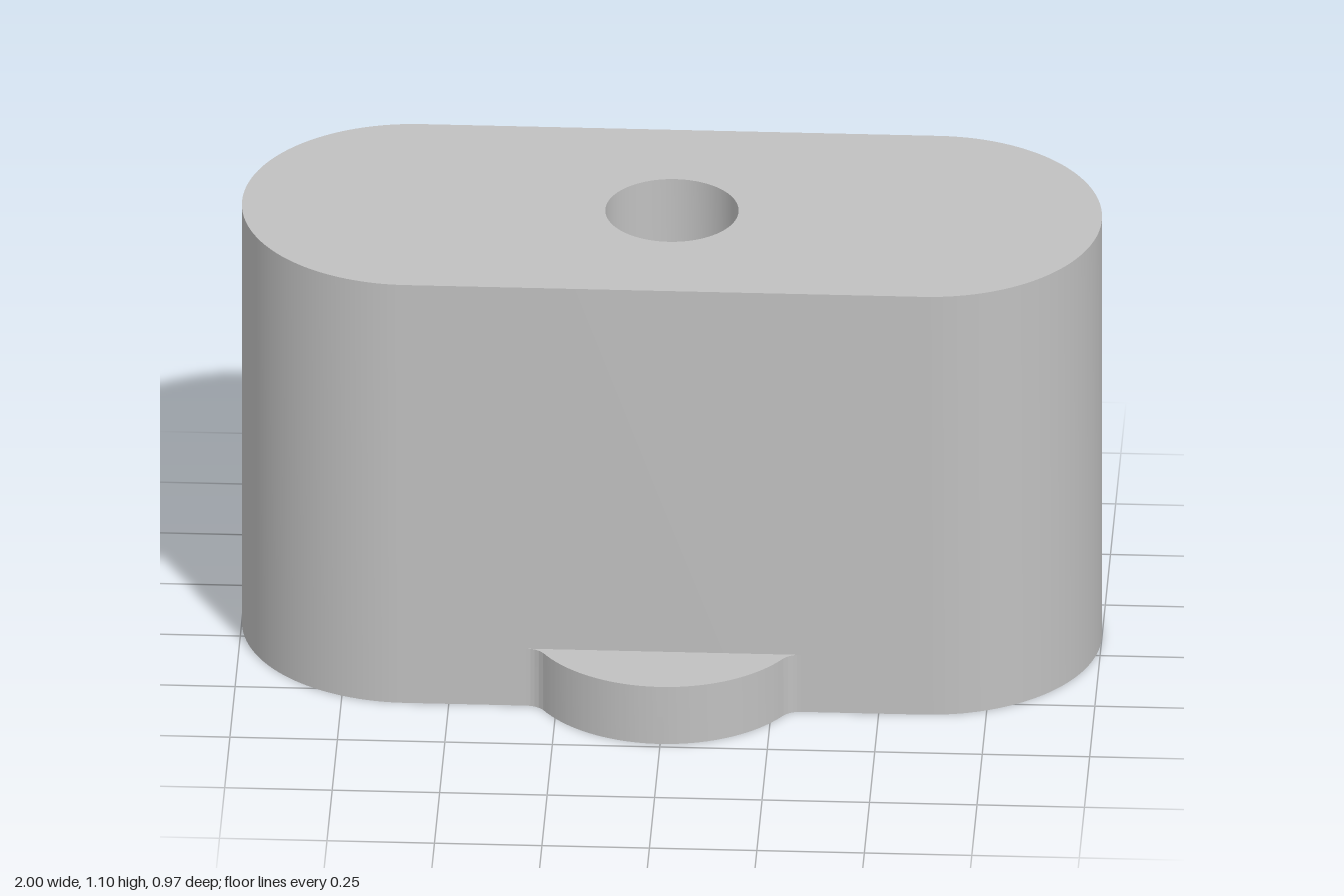
import * as THREE from 'three';
import { toCreasedNormals } from 'three/addons/utils/BufferGeometryUtils.js';

const HEIGHT = 1.1, TAB_HEIGHT = 0.15;
const CENTER_Z = -0.087, END_RADIUS = 0.398, END_X = 0.602;
const HOLE_RADIUS = 0.155, BORE_RADIUS = 0.3, BORE_DEPTH = 0.68;
const FRONT_Z = CENTER_Z + END_RADIUS;

// Shapes are drawn in plan with shape y = -z, then laid flat.
function bodyOutline() {
  const s = new THREE.Shape();
  s.absarc(END_X, -CENTER_Z, END_RADIUS, -Math.PI / 2, Math.PI / 2, false);
  s.absarc(-END_X, -CENTER_Z, END_RADIUS, Math.PI / 2, Math.PI * 1.5, false);
  s.closePath();
  return s;
}

// Round tab blended into the front wall by two small fillets
function tabOutline() {
  const r = 0.33, f = 0.05, cy = -0.155, fy = -FRONT_Z - f;
  const fx = Math.sqrt((r + f) ** 2 - (cy - fy) ** 2);
  const t = Math.atan2(cy - fy, fx);
  const s = new THREE.Shape();
  s.absarc(-fx, fy, f, Math.PI / 2, t, true);
  s.absarc(0, cy, r, Math.PI + t, Math.PI * 2 - t, false);
  s.absarc(fx, fy, f, Math.PI - t, Math.PI / 2, true);
  s.closePath();
  return s;
}

function extrudeUp(shape, depth) {
  return new THREE.ExtrudeGeometry(shape, { depth, bevelEnabled: false, curveSegments: 40 })
    .rotateX(-Math.PI / 2);
}

// Keep only the side walls of an extrusion
function wallsOnly(geometry) {
  const { start, count } = geometry.groups[1];
  const walls = new THREE.BufferGeometry();
  const p = geometry.attributes.position.array.slice(start * 3, (start + count) * 3);
  walls.setAttribute('position', new THREE.BufferAttribute(p, 3));
  walls.computeVertexNormals();
  return walls;
}

// Flat end face with a round hole
function endFace(radius, up) {
  const s = bodyOutline();
  s.holes.push(new THREE.Path().absarc(0, -CENTER_Z, radius, 0, Math.PI * 2, true));
  const g = new THREE.ShapeGeometry(s, 40).rotateX(-Math.PI / 2);
  if (up) return g.translate(0, HEIGHT, 0);
  // Reverse the corner order so the face looks down
  g.index.array.reverse();
  g.computeVertexNormals();
  return g;
}

export function createModel() {
  const group = new THREE.Group();
  const grey = new THREE.MeshStandardMaterial({ color: 0xc0c0c0 });
  grey.name = 'grey';
  const add = (name, geometry) => {
    const mesh = new THREE.Mesh(geometry, grey);
    mesh.name = name;
    group.add(mesh);
    return mesh;
  };

  // Long block with rounded ends
  add('bodyWall', toCreasedNormals(wallsOnly(extrudeUp(bodyOutline(), HEIGHT)), 0.5));
  add('topFace', endFace(HOLE_RADIUS, true));
  add('bottomFace', endFace(BORE_RADIUS, false));

  // Through hole that widens to a deep bore from below
  const profile = [
    [HOLE_RADIUS, HEIGHT], [HOLE_RADIUS, BORE_DEPTH],
    [BORE_RADIUS, BORE_DEPTH], [BORE_RADIUS, 0],
  ].map(([x, y]) => new THREE.Vector2(x, y));
  const bore = toCreasedNormals(new THREE.LatheGeometry(profile, 80), 0.5);
  add('steppedBore', bore).position.z = CENTER_Z;

  // Front tab at the foot
  add('frontTab', toCreasedNormals(extrudeUp(tabOutline(), TAB_HEIGHT), 0.5));

  return group;
}
